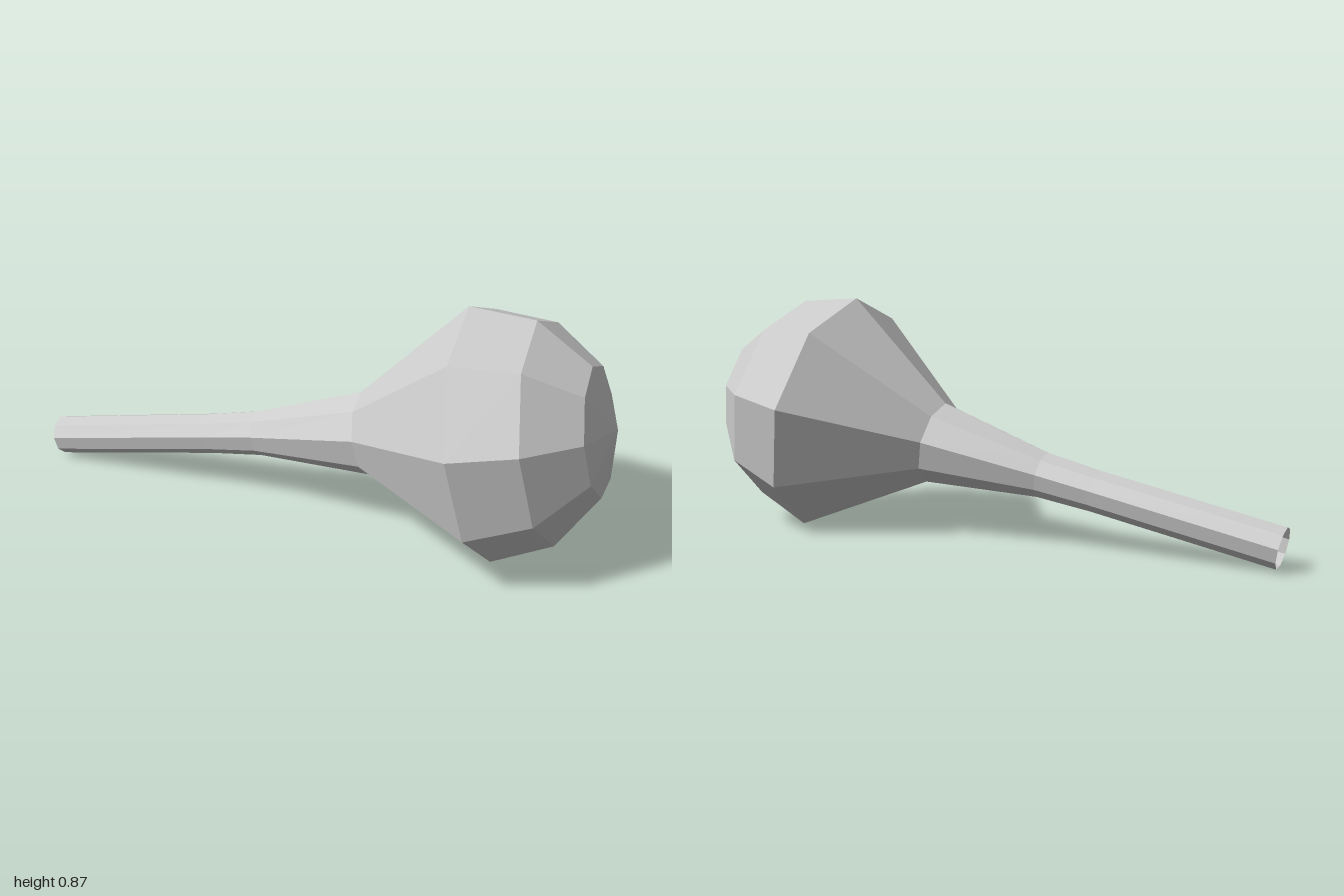
import * as THREE from 'three';

const SIDES = 9;
const BULB_RADIUS = 0.457;
const BULB_START = 1.784; // distance from the open end to the widest ring

// Faceted body of revolution around the local y axis; profile = [radius, distance] pairs
function turned(name, profile) {
  const points = profile.map(([r, d]) => new THREE.Vector2(r, d));
  const mesh = new THREE.Mesh(
    new THREE.LatheGeometry(points, SIDES),
    new THREE.MeshStandardMaterial({ color: 0xcccccc, flatShading: true, side: THREE.DoubleSide })
  );
  mesh.name = name;
  return mesh;
}

export function createModel() {
  const model = new THREE.Group();
  model.name = 'bulbPipette';

  // Hollow stem, open at the thin end and flaring toward the bulb
  const stem = turned('stem', [[0.075, 0], [0.077, 0.687], [0.085, 0.895], [0.155, 1.335]]);

  // Cone shoulder followed by a hemispherical dome in three bands
  const bulbProfile = [[0.155, 1.335]];
  for (let i = 0; i <= 3; i++) {
    const a = (i / 3) * Math.PI / 2;
    bulbProfile.push([i === 3 ? 0 : BULB_RADIUS * Math.cos(a), BULB_START + BULB_RADIUS * Math.sin(a)]);
  }
  const bulb = turned('bulb', bulbProfile);

  // Lay the body along its leaning axis, one ridge facing up
  const axis = new THREE.Vector3(0.501, 0.197, 0.843).normalize();
  const ridge = new THREE.Vector3(-0.031, 0.447, -0.085);
  ridge.addScaledVector(axis, -ridge.dot(axis)).normalize();
  const across = new THREE.Vector3().crossVectors(axis, ridge);
  const body = new THREE.Group();
  body.name = 'body';
  body.quaternion.setFromRotationMatrix(new THREE.Matrix4().makeBasis(across, axis, ridge));
  body.position.set(-0.642, 0.081, -0.963);
  body.add(stem, bulb);
  model.add(body);
  return model;
}
